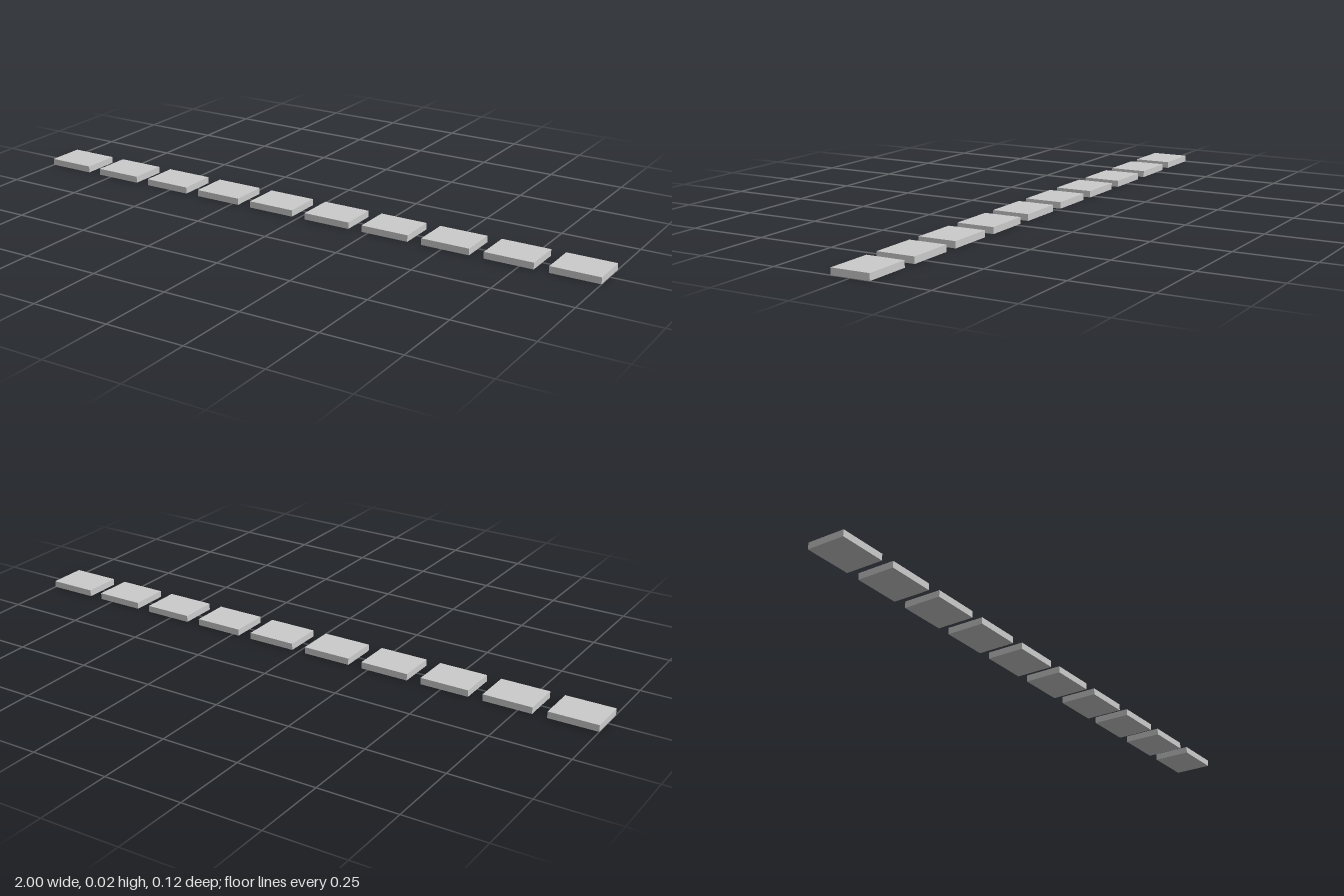
import * as THREE from 'three';

export function createModel() {
  const group = new THREE.Group();
  group.name = 'slabRow';

  const count = 10, length = 2;
  const width = 0.158, height = 0.021, depth = 0.124;
  const pitch = (length - width) / (count - 1);

  const material = new THREE.MeshStandardMaterial({ color: 0xcccccc });
  const geometry = new THREE.BoxGeometry(width, height, depth);

  // Evenly spaced flat slabs in one straight row
  for (let i = 0; i < count; i++) {
    const slab = new THREE.Mesh(geometry, material);
    slab.name = `slab${i + 1}`;
    slab.position.set((i - (count - 1) / 2) * pitch, height / 2, 0);
    group.add(slab);
  }
  return group;
}
